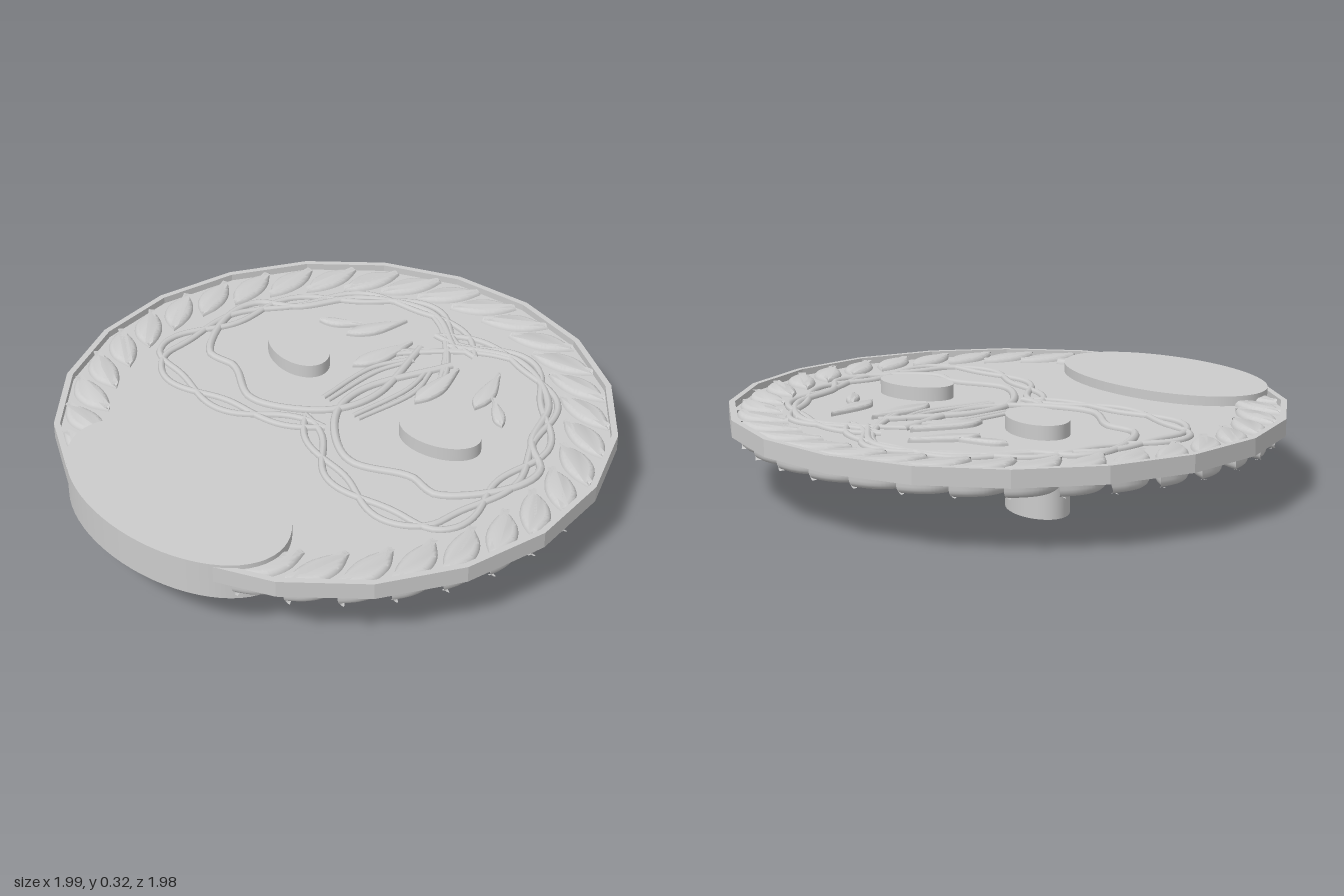
import * as THREE from 'three';
import { toCreasedNormals } from 'three/addons/utils/BufferGeometryUtils.js';

const FLOOR = 0.27;
const smooth = new THREE.MeshStandardMaterial({ color: 0xcccccc });
const faceted = new THREE.MeshStandardMaterial({ color: 0xcccccc, flatShading: true });
const open = new THREE.MeshStandardMaterial({ color: 0xcccccc, side: THREE.DoubleSide });

function add(parent, name, geometry, material = smooth) {
  const mesh = new THREE.Mesh(geometry, material);
  mesh.name = name;
  parent.add(mesh);
  return mesh;
}

function addGroup(parent, name) {
  const group = new THREE.Group();
  group.name = name;
  parent.add(group);
  return group;
}

// Pointed pad lying flat: an edge from tip to tip and an edge back, as [x, z]
function pad(edge, edgeBack, y0, y1, bevel) {
  const v = ([x, z]) => new THREE.Vector2(x, -z);
  const shape = new THREE.Shape();
  shape.moveTo(edge[0][0], -edge[0][1]);
  shape.splineThru(edge.slice(1).map(v));
  shape.splineThru([...edgeBack, edge[0]].map(v));
  const geometry = new THREE.ExtrudeGeometry(shape, {
    depth: y1 - y0 - 2 * bevel, curveSegments: 8, bevelEnabled: true,
    bevelThickness: bevel, bevelSize: bevel * 0.8, bevelOffset: -bevel * 0.8, bevelSegments: 4,
  });
  geometry.rotateX(-Math.PI / 2);
  geometry.translate(0, y0 + bevel, 0);
  return toCreasedNormals(geometry, 0.7);
}

// Thin strand half sunk into the floor, swaying sideways around its path
function strand(parent, points, radius, sway = 0, waves = 0) {
  const path = new THREE.CatmullRomCurve3(points.map(([x, z]) => new THREE.Vector3(x, FLOOR + 0.002, z)));
  const swayed = Array.from({ length: 49 }, (_, i) => {
    const t = i / 48;
    const dir = path.getTangentAt(t);
    const offset = sway * Math.sin(waves * Math.PI * t);
    return path.getPointAt(t).add(new THREE.Vector3(-dir.z, 0, dir.x).multiplyScalar(offset));
  });
  add(parent, 'strand', new THREE.TubeGeometry(new THREE.CatmullRomCurve3(swayed), 96, radius, 8));
}

export function createModel() {
  const model = new THREE.Group();

  // Twenty-sided plate with a thin raised rim
  const profile = [[0, 0.235], [0.988, 0.235], [0.988, 0.295], [0.966, 0.295], [0.966, FLOOR], [0, FLOOR]];
  const plate = add(model, 'plate',
    new THREE.LatheGeometry(profile.map(([x, y]) => new THREE.Vector2(x, y)), 20), faceted);
  plate.position.set(0.006, 0, -0.005);

  // Ring of slanted rope lobes just inside the rim
  const rope = addGroup(model, 'ropeBorder');
  const lobe = pad(
    [[-0.083, -0.1], [0, -0.078], [0.055, -0.03], [0.077, 0.03], [0.078, 0.1]],
    [[0.015, 0.07], [-0.035, 0.025], [-0.068, -0.035]], 0.19, 0.288, 0.025);
  const lobeCount = 35;
  for (let i = 0; i < lobeCount; i++) {
    const a = (i / lobeCount) * Math.PI * 2 + 0.055;
    const mesh = add(rope, 'ropeLobe', lobe);
    mesh.position.set(0.873 * Math.cos(a), 0, 0.873 * Math.sin(a));
    mesh.rotation.y = -a;
  }

  // Large oval cap over the plate edge, hollow underneath
  const cap = addGroup(model, 'ovalCap');
  cap.position.set(-0.722, 0.305, 0.002);
  const wall = add(cap, 'ovalWall', new THREE.CylinderGeometry(1, 1, 0.135, 64, 1, true), open);
  wall.scale.set(0.278, 1, 0.483);
  wall.position.y = -0.0675;
  const top = add(cap, 'ovalTop', new THREE.CircleGeometry(1, 64).rotateX(-Math.PI / 2), open);
  top.scale.set(0.278, 1, 0.483);

  // Paths of one lobe of the pattern; the other lobe mirrors them
  const innerPath = [[0.5, -0.08], [0.15, 0.03], [-0.02, -0.02], [-0.17, -0.25], [-0.08, -0.46], [-0.09, -0.58],
    [0.12, -0.73], [0.26, -0.73], [0.36, -0.6], [0.58, -0.48], [0.7, -0.22], [0.58, 0.02]];
  const outerPath = [[-0.1, 0.05], [-0.26, -0.26], [-0.28, -0.57], [-0.2, -0.71], [0.12, -0.7], [0.36, -0.64],
    [0.6, -0.46], [0.71, -0.2], [0.6, 0.1]];
  // Tufts as wide end, then pointed end
  const tuftEnds = [[[0.35, -0.47], [0.45, -0.33]], [[0.36, -0.33], [0.59, -0.24]], [[0.23, -0.16], [0.5, -0.12]]];

  for (const side of [1, -1]) {
    const half = addGroup(model, side > 0 ? 'backLobe' : 'frontLobe');
    const flip = (points) => points.map(([x, z]) => [x, z * side]);

    // Oval peg passing through the plate
    const peg = add(half, 'peg', new THREE.CylinderGeometry(1, 1, 0.32, 48));
    peg.scale.set(0.1, 1, 0.154);
    peg.position.set(0.141, 0.16, -0.363 * side + 0.011);
    peg.rotation.y = -0.25 * side;

    // Inner outline with two strands twisting outside it
    strand(half, flip(innerPath), 0.015);
    strand(half, flip(outerPath), 0.013, 0.03, 9);
    strand(half, flip(outerPath), 0.013, -0.03, 9);

    // Fan of strands crossing where the lobes meet
    for (let i = 0; i < 4; i++) {
      const s = i * 0.05;
      strand(half, flip([[0.3 + s, -0.17 + s / 2], [0.45 + s, -0.1 + s], [0.58 + s * 0.7, 0.02 + s], [0.7, 0.13 + s]]), 0.011);
    }
    for (const z of [-0.09, -0.065]) {
      strand(half, flip([[0.02, z], [0.28, z * 1.2], [0.42, z * 0.6]]), 0.01);
    }

    // Pointed tufts reaching through the plate
    for (const ends of tuftEnds) {
      const [[x0, z0], [x1, z1]] = flip(ends);
      const dx = x1 - x0, dz = z1 - z0;
      const at = (t, w) => [x0 + dx * t - dz * w, z0 + dz * t + dx * w];
      add(half, 'tuft', pad([at(0, 0), at(0.2, 0.11), at(0.5, 0.14), at(1, 0)],
        [at(0.5, -0.11), at(0.2, -0.12)], 0.17, 0.288, 0.012));
    }
  }
  return model;
}
